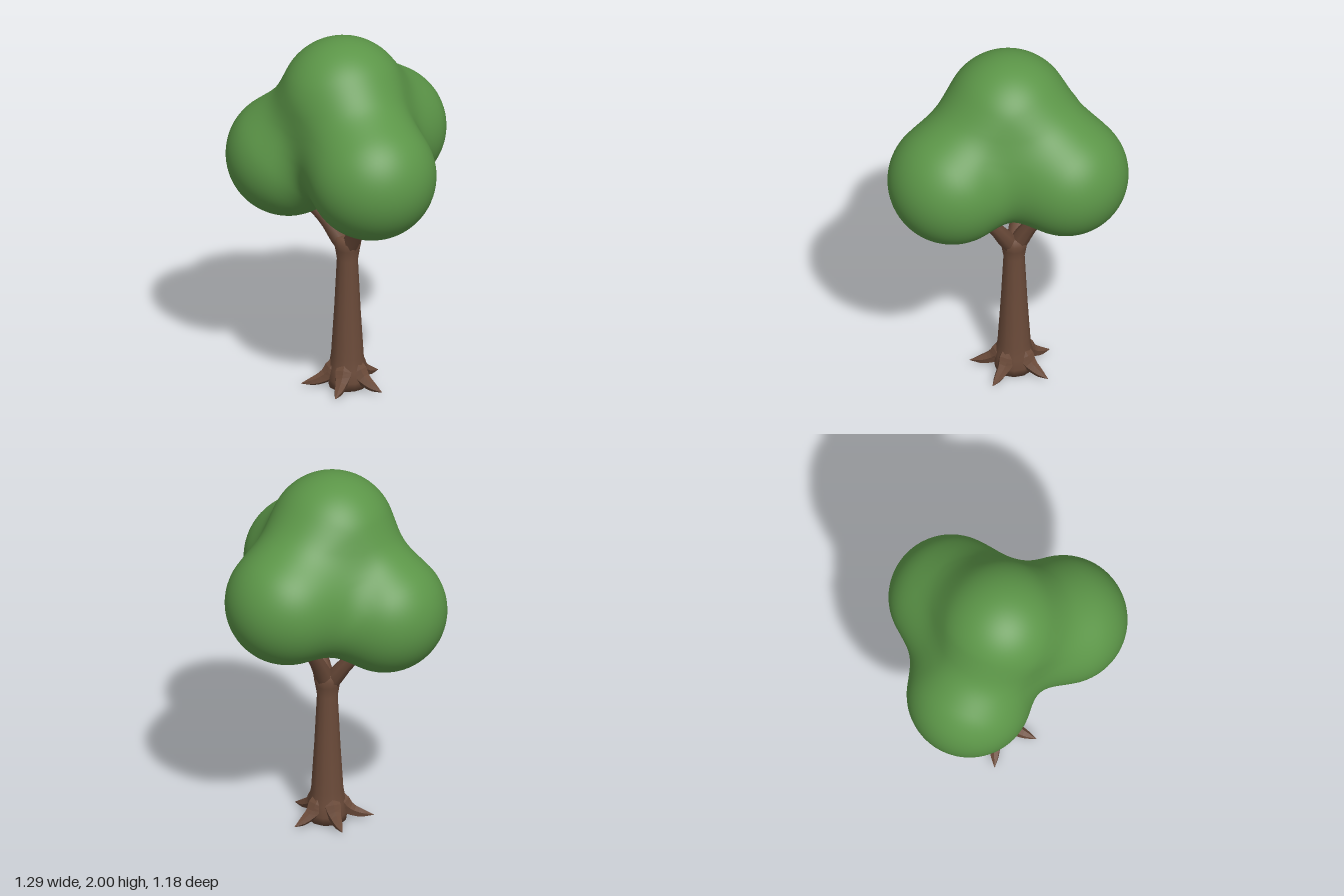
import * as THREE from 'three';
import { mergeVertices } from 'three/addons/utils/BufferGeometryUtils.js';

const V = (x, y, z) => new THREE.Vector3(x, y, z);
const TRUNK_X = -0.01, TRUNK_Z = 0.053;

// Canopy lobes: centre and radius
const LOBES = [
  [V(-0.01, 1.665, 0.09), 0.335],
  [V(-0.32, 1.29, 0.16), 0.33],
  [V(0.305, 1.36, 0.25), 0.34],
  [V(-0.01, 1.385, -0.26), 0.33],
];

// Distance to the softly blended lobes
function canopyDistance(p) {
  const k = 0.2;
  let d = Infinity;
  for (const [c, r] of LOBES) {
    const e = p.distanceTo(c) - r;
    const h = Math.max(k - Math.abs(d - e), 0) / k;
    d = Math.min(d, e) - (Number.isFinite(h) ? h * h * k / 4 : 0);
  }
  return d;
}

// A fine ball shrunk along its rays onto the blended lobes
function canopyGeometry() {
  let g = new THREE.IcosahedronGeometry(1, 24);
  g.deleteAttribute('uv');
  g.deleteAttribute('normal');
  g = mergeVertices(g, 1e-4);
  const centre = V(0, 1.42, 0.08), pos = g.attributes.position;
  const dir = V(), p = V();
  for (let i = 0; i < pos.count; i++) {
    dir.fromBufferAttribute(pos, i).normalize();
    let t = 1.2;
    for (let s = 0; s < 80; s++) {
      p.copy(centre).addScaledVector(dir, t);
      const d = canopyDistance(p);
      if (d < 0.0005) break;
      t = Math.max(t - d * 0.9, 0.02);
    }
    pos.setXYZ(i, p.x, p.y, p.z);
  }
  g.computeVertexNormals();
  return g;
}

// Tube whose radius follows a list of values along its length
function taperedLimb(points, radii, sides, faceted) {
  const curve = new THREE.CatmullRomCurve3(points);
  const steps = 9;
  let g = new THREE.TubeGeometry(curve, steps, 1, sides);
  const pos = g.attributes.position, p = V();
  for (let i = 0; i < pos.count; i++) {
    const t = Math.floor(i / (sides + 1)) / steps;
    const f = t * (radii.length - 1), a = Math.min(Math.floor(f), radii.length - 2);
    const r = THREE.MathUtils.lerp(radii[a], radii[a + 1], f - a);
    const c = curve.getPointAt(t);
    p.fromBufferAttribute(pos, i).sub(c).multiplyScalar(r).add(c);
    pos.setXYZ(i, p.x, Math.max(p.y, 0.004), p.z);
  }
  if (faceted) {
    g = g.toNonIndexed();
    g.computeVertexNormals();
  }
  return g;
}

export function createModel() {
  const tree = new THREE.Group();
  tree.name = 'tree';
  const leaf = new THREE.MeshStandardMaterial({ color: 0x5c9648 });
  leaf.name = 'leafGreen';
  const bark = new THREE.MeshStandardMaterial({ color: 0x6a4a39 });
  bark.name = 'barkBrown';
  const add = (name, geometry, material) => {
    const mesh = new THREE.Mesh(geometry, material);
    mesh.name = name;
    tree.add(mesh);
    return mesh;
  };

  add('canopy', canopyGeometry(), leaf);

  // Trunk, flared at the foot and at the fork
  const profile = [
    [0, 0.004], [0.1, 0.004], [0.108, 0.05], [0.1, 0.11], [0.087, 0.18], [0.07, 0.45],
    [0.056, 0.73], [0.066, 0.79], [0.074, 0.83], [0.06, 0.865], [0, 0.87],
  ].map(([r, y]) => new THREE.Vector2(r, y));
  add('trunk', new THREE.LatheGeometry(profile, 12), bark).position.set(TRUNK_X, 0, TRUNK_Z);

  // Three branches, widening where they enter the canopy
  const branches = {
    rightBranch: [V(-0.1, 0.91, 0.08), V(-0.24, 1.09, 0.14)],
    leftBranch: [V(0.07, 0.91, 0.085), V(0.2, 1.12, 0.16)],
    backBranch: [V(-0.02, 0.93, -0.025), V(-0.035, 1.13, -0.17)],
  };
  for (const [name, [middle, end]] of Object.entries(branches)) {
    const points = [V(TRUNK_X, 0.78, TRUNK_Z), middle, end];
    add(name, taperedLimb(points, [0.045, 0.048, 0.038, 0.04, 0.065], 8, false), bark);
  }

  // Roots spread around the foot
  const roots = [[0, 0.23], [68, 0.235], [137, 0.245], [207, 0.225], [278, 0.225]];
  roots.forEach(([degrees, reach], i) => {
    const a = THREE.MathUtils.degToRad(degrees);
    const at = (r, y) => V(TRUNK_X + Math.cos(a) * r, y, TRUNK_Z + Math.sin(a) * r);
    const points = [at(0.045, 0.15), at(0.095, 0.075), at(0.16, 0.038), at(reach, 0.02)];
    add('root' + (i + 1), taperedLimb(points, [0.035, 0.05, 0.035, 0.024, 0.001], 6, true), bark);
  });

  return tree;
}
